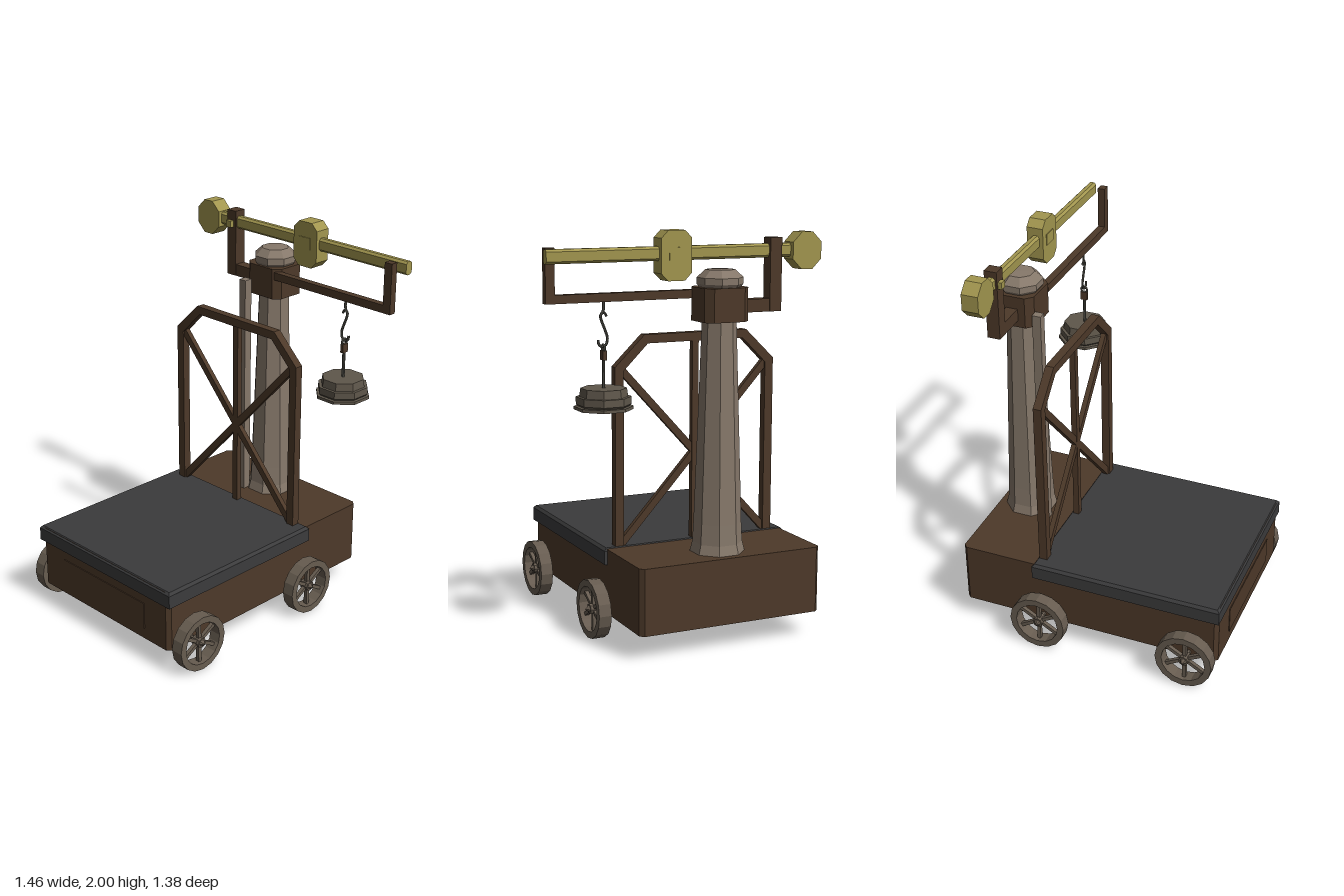
import * as THREE from 'three';

const mat = (name, color) => new THREE.MeshStandardMaterial({ name, color, flatShading: true });

export function createModel() {
  const root = new THREE.Group();
  root.name = 'platformScale';
  const wood = mat('brown frame', 0x4d3929);
  const deckGrey = mat('dark grey deck', 0x3b3b3c);
  const stone = mat('warm grey column', 0x86786a);
  const brass = mat('brass', 0xa2964f);
  const iron = mat('wheel iron', 0x675c50);
  const weightIron = mat('weight iron', 0x5f574b);
  const steel = mat('hook steel', 0x55544c);
  const CX = -0.153; // centre line of the cart

  const add = (name, geo, material, parent = root) => {
    const m = new THREE.Mesh(geo, material);
    m.name = name;
    parent.add(m);
    return m;
  };
  // box given by its limits
  const box = (name, x0, x1, y0, y1, z0, z1, material, parent) => {
    const g = new THREE.BoxGeometry(x1 - x0, y1 - y0, z1 - z0);
    g.translate((x0 + x1) / 2, (y0 + y1) / 2, (z0 + z1) / 2);
    return add(name, g, material, parent);
  };
  // rectangle with cut corners
  const cutRect = (w, h, c) => {
    const a = w / 2, b = h / 2;
    return new THREE.Shape([[-a + c, -b], [a - c, -b], [a, -b + c], [a, b - c],
      [a - c, b], [-a + c, b], [-a, b - c], [-a, -b + c]].map(p => new THREE.Vector2(...p)));
  };
  const extrude = (shape, depth, extra = {}) =>
    new THREE.ExtrudeGeometry(shape, { depth, bevelEnabled: false, ...extra });
  // upright prism with cut corners in plan
  const block = (name, x0, x1, y0, y1, z0, z1, c, material) =>
    add(name, extrude(cutRect(x1 - x0, z1 - z0, c), y1 - y0).rotateX(-Math.PI / 2)
      .translate((x0 + x1) / 2, y0, (z0 + z1) / 2), material);
  // octagonal lathe with flats facing the axes; points are [half width, y]
  const octagon = (name, pts, x, z, material) => {
    const k = 1 / Math.cos(Math.PI / 8);
    const g = new THREE.LatheGeometry(pts.map(([r, y]) => new THREE.Vector2(r * k, y)), 8, Math.PI / 8);
    return add(name, g.translate(x, 0, z), material);
  };

  // cart body, front panel and deck
  block('body', -0.635, 0.33, 0.125, 0.452, -0.69, 0.683, 0.02, wood);
  box('frontPanel', -0.46, 0.155, 0.185, 0.325, 0.68, 0.687, wood);
  box('deckSide', -0.65, 0.345, 0.375, 0.443, -0.30, 0.69, deckGrey);
  const lip = new THREE.BoxGeometry(0.995, 0.014, 0.99);
  const lp = lip.attributes.position;
  for (let i = 0; i < lp.count; i++) {
    if (lp.getY(i) > 0) lp.setXYZ(i, lp.getX(i) * 0.975, lp.getY(i), lp.getZ(i) * 0.975);
  }
  add('deckTop', lip.translate(CX, 0.45, 0.195), deckGrey);

  // wheels with rim, spokes, hub and axle stub
  const rimShape = new THREE.Shape().absarc(0, 0, 0.147, 0, Math.PI * 2);
  rimShape.holes.push(new THREE.Path().absarc(0, 0, 0.113, 0, Math.PI * 2, true));
  const rim = extrude(rimShape, 0.065, { curveSegments: 8 }).translate(0, 0, -0.0325).rotateY(Math.PI / 2);
  const spoke = new THREE.BoxGeometry(0.02, 0.104, 0.018).translate(0, 0.07, 0);
  const hub = new THREE.CylinderGeometry(0.026, 0.026, 0.05, 8).rotateZ(Math.PI / 2);
  const axle = new THREE.CylinderGeometry(0.013, 0.013, 0.1, 8).rotateZ(Math.PI / 2).translate(-0.05, 0, 0);
  const tip = new THREE.ConeGeometry(0.018, 0.022, 8).rotateZ(-Math.PI / 2).translate(0.036, 0, 0);
  for (const side of [-1, 1]) {
    for (const z of [0.535, -0.25]) {
      const wheel = new THREE.Group();
      wheel.name = `${z > 0 ? 'front' : 'back'}${side > 0 ? 'Left' : 'Right'}Wheel`;
      wheel.position.set(CX + side * 0.536, 0.147, z);
      if (side < 0) wheel.rotation.y = Math.PI;
      add('rim', rim, iron, wheel);
      for (let i = 0; i < 6; i++) add('spoke', spoke, iron, wheel).rotation.x = i * Math.PI / 3;
      add('hub', hub, iron, wheel);
      add('axle', axle, iron, wheel);
      add('hubTip', tip, iron, wheel);
      root.add(wheel);
    }
  }

  // guard frame: bent outline, centre bar and crossed braces
  const outline = [[-0.585, 0.45], [-0.54, 0.45], [-0.54, 1.32], [-0.412, 1.447], [0.107, 1.447],
    [0.235, 1.32], [0.235, 0.45], [0.28, 0.45], [0.28, 1.34], [0.125, 1.49], [-0.43, 1.49], [-0.585, 1.34]];
  add('guardFrame', extrude(new THREE.Shape(outline.map(p => new THREE.Vector2(...p))), 0.043)
    .translate(0, 0, -0.286), wood);
  box('guardCentreBar', -0.17, -0.136, 0.45, 1.455, -0.28, -0.25, wood);
  for (const s of [-1, 1]) {
    const brace = add('guardBrace', new THREE.BoxGeometry(0.036, 1.18, 0.026), wood);
    brace.position.set(CX, 0.895, -0.265);
    brace.rotation.z = s * Math.atan2(0.79, 0.86);
  }

  // column, collar, cap and the thin rod beside it
  octagon('column', [[0.124, 0.45], [0.112, 0.5], [0.107, 0.6], [0.075, 1.6]], -0.15, -0.53, stone);
  block('collar', -0.265, -0.035, 1.57, 1.73, -0.635, -0.43, 0.035, wood);
  octagon('columnCap', [[0.085, 1.72], [0.102, 1.745], [0.102, 1.775], [0.065, 1.812], [0, 1.815]],
    -0.15, -0.535, stone);
  box('columnRod', -0.26, -0.217, 0.45, 1.645, -0.43, -0.385, stone);

  // brackets holding the beam
  box('rightBracketArm', -0.465, -0.25, 1.605, 1.667, -0.562, -0.502, wood);
  box('rightBracketPost', -0.465, -0.403, 1.605, 1.955, -0.565, -0.5, wood);
  box('leftBracketArm', -0.06, 0.7, 1.675, 1.715, -0.47, -0.433, wood);
  box('leftBracketPost', 0.655, 0.7, 1.675, 1.928, -0.47, -0.433, wood);

  // brass beam, end weight, sliding weight and pivot pin
  add('beam', extrude(cutRect(0.042, 0.066, 0.011), 1.27).rotateY(Math.PI / 2)
    .translate(-0.545, 1.893, -0.53), brass);
  add('endWeight', extrude(cutRect(0.155, 0.178, 0.048), 0.085).translate(-0.598, 1.89, -0.575), brass);
  add('slidingWeight', extrude(cutRect(0.155, 0.232, 0.035), 0.085).translate(0.096, 1.884, -0.575), brass);
  for (const z of [-0.579, -0.49]) box('slidingWeightPlate', 0.057, 0.132, 1.864, 1.922, z, z + 0.004, brass);
  box('pivotPin', -0.457, -0.422, 1.867, 1.902, -0.51, -0.48, brass);

  // hanging hook and stacked weight
  const HX = 0.41, HZ = -0.45;
  const tube = (name, pts, r) => {
    const curve = new THREE.CatmullRomCurve3(pts.map(([x, y]) => new THREE.Vector3(HX + x, y, HZ)));
    add(name, new THREE.TubeGeometry(curve, 28, r, 6), steel);
  };
  tube('upperHook', [[0, 1.69], [0, 1.635], [0.014, 1.61], [0.008, 1.585], [-0.008, 1.545], [-0.02, 1.505],
    [-0.012, 1.475], [0.008, 1.467], [0.024, 1.48], [0.026, 1.5]], 0.0065);
  tube('hookBarb', [[0.012, 1.62], [-0.004, 1.625], [-0.016, 1.608]], 0.006);
  add('hangerEye', new THREE.TorusGeometry(0.017, 0.006, 6, 10).rotateY(Math.PI / 2)
    .translate(HX, 1.46, HZ), steel);
  add('hangerRod', new THREE.CylinderGeometry(0.008, 0.008, 0.2, 8).translate(HX, 1.35, HZ), steel);
  box('hangerBlock', HX - 0.009, HX + 0.009, 1.405, 1.45, HZ - 0.018, HZ + 0.018, wood);
  octagon('weightPan', [[0, 1.175], [0.129, 1.175], [0.129, 1.19], [0, 1.19]], HX, HZ, weightIron);
  octagon('lowerWeight', [[0.112, 1.19], [0.12, 1.2], [0.12, 1.235], [0, 1.235]], HX, HZ, weightIron);
  octagon('upperWeight', [[0.105, 1.235], [0.1, 1.275], [0, 1.275]], HX, HZ, weightIron);
  return root;
}
